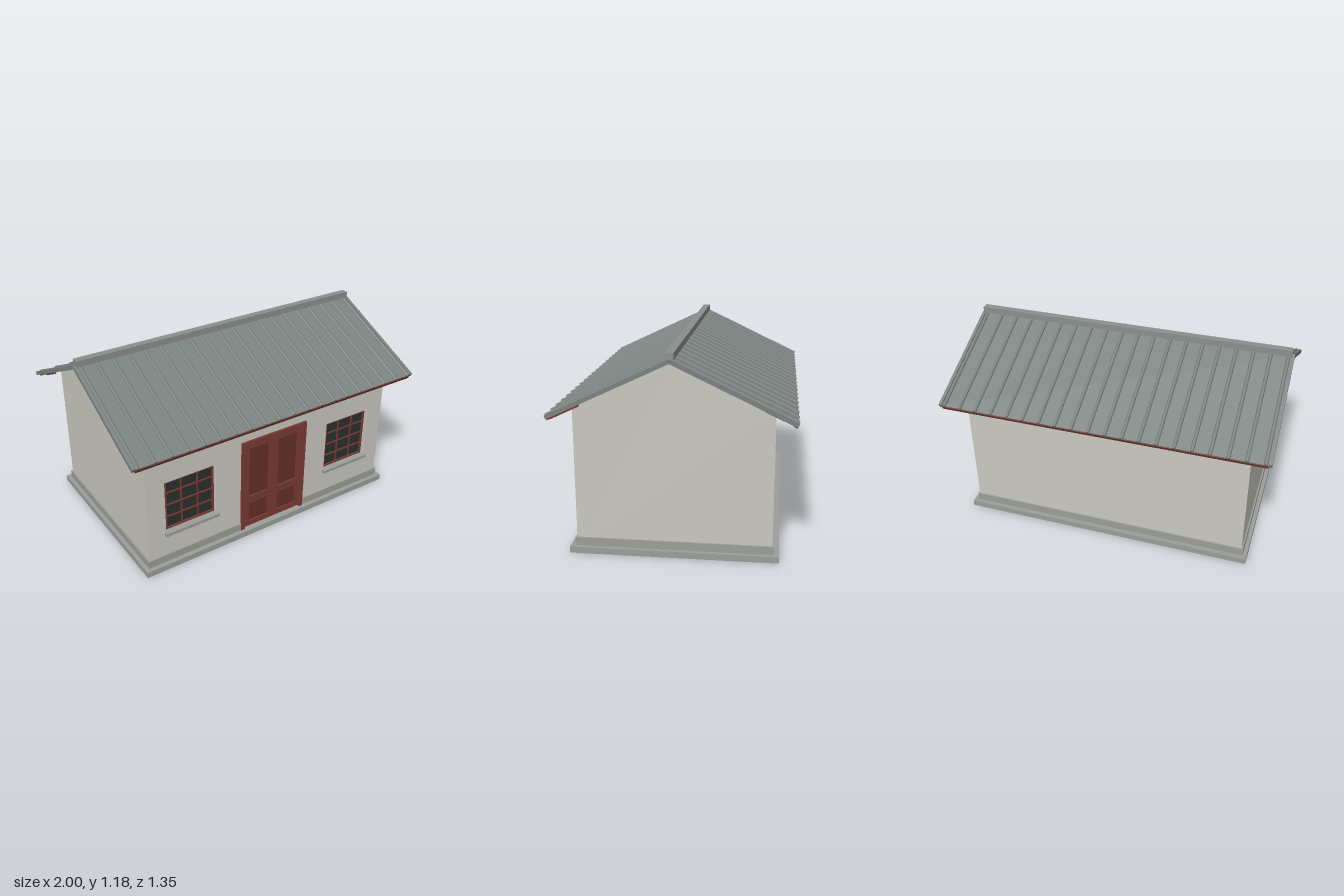
import * as THREE from 'three';

const mat = (color, double) =>
  new THREE.MeshStandardMaterial({ color, side: double ? THREE.DoubleSide : THREE.FrontSide });
const M = {
  wall: mat(0xc9c8c0), stone: mat(0x9c9e99), roof: mat(0x7a8280), ridge: mat(0x8c8f8b),
  wood: mat(0x7a3b33), panel: mat(0x652f2b), glass: mat(0x2a302e),
};

function add(parent, name, geo, material) {
  const mesh = new THREE.Mesh(geo, material);
  mesh.name = name;
  parent.add(mesh);
  return mesh;
}

// Box given by its min and max on each axis
function box(parent, name, material, x0, x1, y0, y1, z0, z1) {
  const m = add(parent, name, new THREE.BoxGeometry(x1 - x0, y1 - y0, z1 - z0), material);
  m.position.set((x0 + x1) / 2, (y0 + y1) / 2, (z0 + z1) / 2);
  return m;
}

const polygon = (pts) => new THREE.Shape(pts.map(([x, y]) => new THREE.Vector2(x, y)));
const extrude = (shape, depth) => new THREE.ExtrudeGeometry(shape, { depth, bevelEnabled: false });

// Rectangular frame lying in the xy plane
function frame(parent, name, material, x0, x1, y0, y1, t, z0, z1) {
  const s = polygon([[x0, y0], [x1, y0], [x1, y1], [x0, y1]]);
  s.holes.push(polygon([[x0 + t, y0 + t], [x0 + t, y1 - t], [x1 - t, y1 - t], [x1 - t, y0 + t]]));
  add(parent, name, extrude(s, z1 - z0), material).position.z = z0;
}

const WIN_X = 0.585, WIN_W = 0.172, WIN_Y0 = 0.243, WIN_Y1 = 0.585;

function buildWalls() {
  const g = new THREE.Group();
  g.name = 'walls';
  // Gabled body, set back behind the front wall layer
  const body = polygon([[-0.523, 0.04], [0.553, 0.04], [0.553, 0.86], [0, 1.122], [-0.523, 0.874]]);
  const bodyGeo = extrude(body, 1.75).rotateY(Math.PI / 2).translate(-0.875, 0, 0);
  add(g, 'gabledBody', bodyGeo, M.wall);
  // Front wall layer with a doorway notch and window openings
  const front = polygon([[-0.875, 0.04], [-0.23, 0.04], [-0.23, 0.66], [0.23, 0.66], [0.23, 0.04],
    [0.875, 0.04], [0.875, 0.862], [-0.875, 0.862]]);
  for (const s of [-1, 1]) {
    const a = s * WIN_X - WIN_W, b = s * WIN_X + WIN_W;
    front.holes.push(polygon([[a, WIN_Y0], [a, WIN_Y1], [b, WIN_Y1], [b, WIN_Y0]]));
  }
  add(g, 'frontWall', extrude(front, 0.03), M.wall).position.z = 0.523;
  return g;
}

function buildPlinth() {
  const g = new THREE.Group();
  g.name = 'plinth';
  box(g, 'lowerStep', M.stone, -0.91, 0.91, 0, 0.037, -0.59, 0.59);
  // Upper step, notched at the doorway
  const s = polygon([[-0.885, -0.562], [-0.23, -0.562], [-0.23, -0.52], [0.23, -0.52], [0.23, -0.562],
    [0.885, -0.562], [0.885, 0.562], [-0.885, 0.562]]);
  add(g, 'upperStep', extrude(s, 0.048).rotateX(-Math.PI / 2), M.stone).position.y = 0.037;
  return g;
}

function buildDoor() {
  const g = new THREE.Group();
  g.name = 'door';
  // Jambs and head
  for (const s of [-1, 1]) {
    const x = s * 0.2265;
    box(g, 'doorJamb', M.wood, x - 0.0125, x + 0.0125, 0.037, 0.669, 0.52, 0.567);
  }
  box(g, 'doorHead', M.wood, -0.214, 0.214, 0.645, 0.669, 0.52, 0.567);
  box(g, 'doorPanels', M.panel, -0.214, 0.214, 0.037, 0.645, 0.52, 0.547);
  // Two leaves, each with a tall and a short recessed panel
  for (const s of [-1, 1]) {
    const c = s * 0.1075, o = 0.1065, i = 0.0725;
    const leaf = polygon([[c - o, 0.045], [c + o, 0.045], [c + o, 0.645], [c - o, 0.645]]);
    for (const [y0, y1] of [[0.08, 0.215], [0.265, 0.61]])
      leaf.holes.push(polygon([[c - i, y0], [c - i, y1], [c + i, y1], [c + i, y0]]));
    add(g, 'doorLeaf', extrude(leaf, 0.013), M.wood).position.z = 0.545;
  }
  return g;
}

function buildWindow(side) {
  const g = new THREE.Group();
  g.name = side > 0 ? 'leftWindow' : 'rightWindow';
  g.position.x = side * WIN_X;
  const w = 0.163, y0 = 0.25, y1 = 0.578;
  box(g, 'windowGlass', M.glass, -w, w, y0, y1, 0.52, 0.527);
  frame(g, 'windowFrame', M.wood, -w, w, y0, y1, 0.01, 0.523, 0.538);
  // Glazing bars: three columns by four rows
  for (let i = 1; i < 3; i++) {
    const x = -w + (2 * w * i) / 3;
    box(g, 'uprightBar', M.wood, x - 0.004, x + 0.004, y0, y1, 0.523, 0.535);
  }
  for (let i = 1; i < 4; i++) {
    const y = y0 + ((y1 - y0) * i) / 4;
    box(g, 'crossBar', M.wood, -w, w, y - 0.004, y + 0.004, 0.523, 0.534);
  }
  box(g, 'windowSill', M.stone, -0.182, 0.182, 0.225, 0.245, 0.523, 0.575);
  return g;
}

// One roof slope; local +z runs down from the ridge
function buildSlope() {
  const g = new THREE.Group();
  g.name = 'roofSlope';
  const L = 0.735;
  box(g, 'roofSheet', M.roof, -0.985, 0.985, 0, 0.013, 0, L);
  for (const s of [-1, 1]) {
    box(g, 'vergeTrim', M.roof, s * 0.99 - 0.01, s * 0.99 + 0.01, -0.003, 0.02, 0, L);
  }
  // Standing ribs
  const ribGeo = new THREE.CylinderGeometry(0.011, 0.011, L, 8).rotateX(Math.PI / 2);
  for (let i = 0; i < 20; i++)
    add(g, 'roofRib', ribGeo, M.roof).position.set(-0.965 + i * 0.10158, 0.013, L / 2 + 0.002);
  // Eaves board and rafter tails
  box(g, 'eavesBoard', M.wood, -0.98, 0.98, -0.013, 0.008, L - 0.016, L + 0.004);
  for (let i = 0; i < 14; i++) {
    const x = -0.933 + i * 0.14354;
    box(g, 'rafterTail', M.wood, x - 0.007, x + 0.007, -0.02, -0.008, 0.56, L);
  }
  return g;
}

function buildRoof() {
  const g = new THREE.Group();
  g.name = 'roof';
  for (const turn of [0, Math.PI]) {
    const half = new THREE.Group();
    half.name = turn ? 'backRoof' : 'frontRoof';
    half.rotation.y = turn;
    const slope = buildSlope();
    slope.position.y = 1.128;
    slope.rotation.x = Math.atan(0.4746);
    half.add(slope);
    g.add(half);
  }
  box(g, 'ridgeCap', M.ridge, -0.988, 0.988, 1.142, 1.18, -0.023, 0.023);
  return g;
}

export function createModel() {
  const model = new THREE.Group();
  model.name = 'house';
  model.add(buildPlinth(), buildWalls(), buildDoor(), buildWindow(1), buildWindow(-1), buildRoof());
  return model;
}
